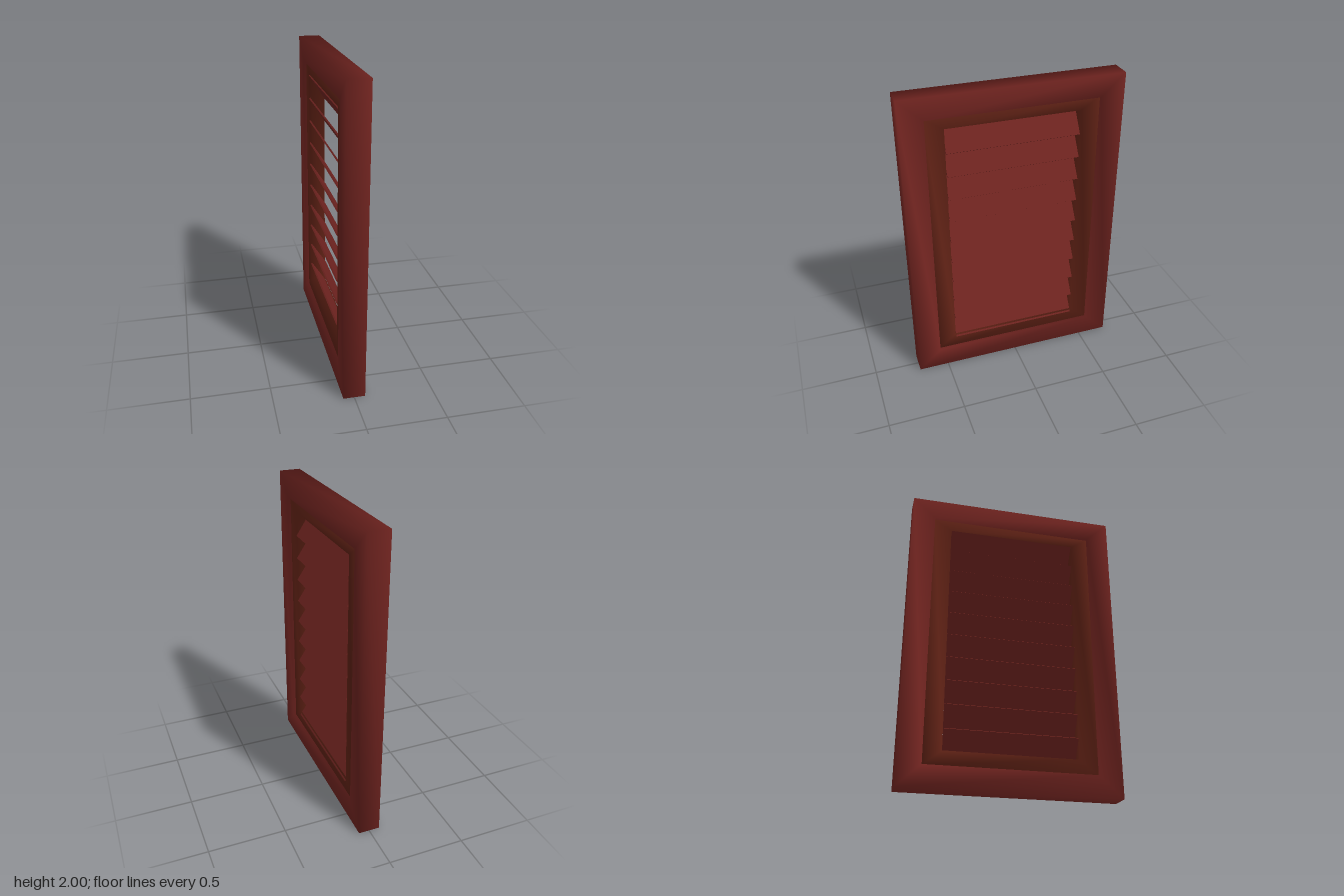
import * as THREE from 'three';

const red = new THREE.MeshStandardMaterial({ color: 0x6e231f });
const brown = new THREE.MeshStandardMaterial({ color: 0x5c2014 });

// Mitred rectangular frame facing +x, with softly shaded shared corners.
// outer and inner are { z: half width, lo: bottom, hi: top }; d is half the depth.
function mitredFrame(name, outer, inner, d, material) {
  const positions = [];
  const index = [];
  const corners = [[-1, 'lo'], [-1, 'hi'], [1, 'hi'], [1, 'lo']];
  for (const [side, level] of corners) {
    for (const [rect, x] of [[outer, d], [inner, d], [inner, -d], [outer, -d]]) {
      positions.push(x, rect[level], side * rect.z);
    }
  }
  for (let i = 0; i < 4; i++) {
    for (let j = 0; j < 4; j++) {
      const n = (i + 1) % 4, k = (j + 1) % 4;
      const a = i * 4 + j, b = n * 4 + j, c = n * 4 + k, e = i * 4 + k;
      index.push(a, b, c, a, c, e);
    }
  }
  const geometry = new THREE.BufferGeometry();
  geometry.setAttribute('position', new THREE.Float32BufferAttribute(positions, 3));
  geometry.setIndex(index);
  geometry.computeVertexNormals();
  const mesh = new THREE.Mesh(geometry, material);
  mesh.name = name;
  return mesh;
}

export function createModel() {
  const model = new THREE.Group();
  model.name = 'louveredShutter';

  // Outer casing and the slightly recessed inner frame
  const casing = { z: 0.7, lo: 0, hi: 2 };
  const rebate = { z: 0.548, lo: 0.14, hi: 1.86 };
  const opening = { z: 0.43, lo: 0.235, hi: 1.785 };
  model.add(mitredFrame('outerFrame', casing, rebate, 0.07, red));
  model.add(mitredFrame('innerFrame', rebate, opening, 0.05, brown));

  // Tilted slats, lower edge towards +x
  const slats = new THREE.Group();
  slats.name = 'slats';
  const count = 10, pitch = 0.157, run = 0.105, rise = 0.16;
  const slatGeometry = new THREE.BoxGeometry(0.01, Math.hypot(run, rise), 0.852);
  for (let i = 0; i < count; i++) {
    const slat = new THREE.Mesh(slatGeometry, red);
    slat.name = 'slat' + (i + 1);
    slat.position.y = 1.625 - i * pitch + rise / 2;
    slat.rotation.z = Math.atan2(run, rise);
    slats.add(slat);
  }
  model.add(slats);

  return model;
}
